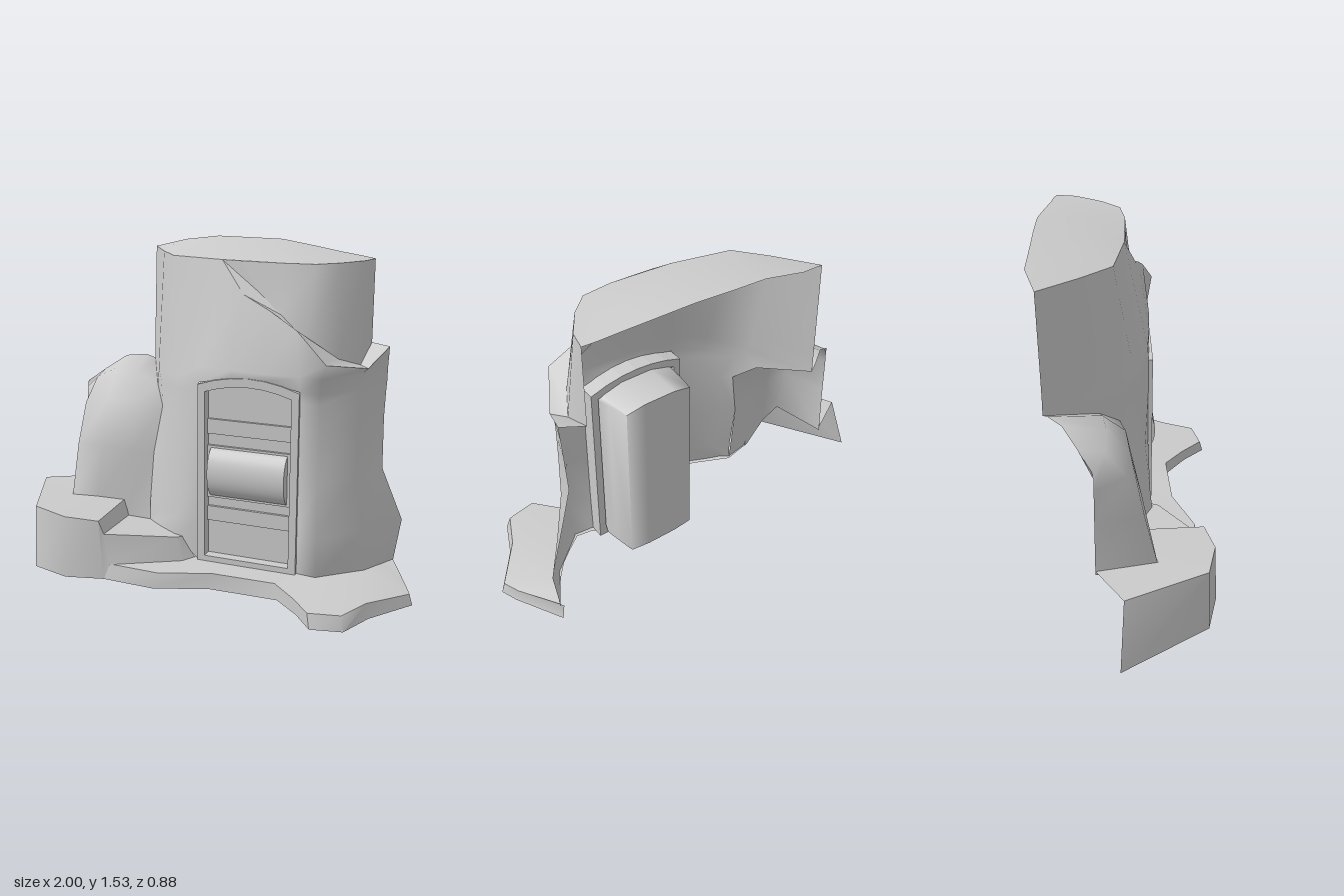
import * as THREE from 'three';
import { toCreasedNormals } from 'three/addons/utils/BufferGeometryUtils.js';

const material = new THREE.MeshStandardMaterial({ color: 0xcccccc, side: THREE.DoubleSide });

// Surface lofted through rows of [x, y, z] points; skip(row, col) leaves an opening.
function loft(name, rows, { crease = 0, skip = () => false } = {}) {
  const cols = rows[0].length;
  const index = [];
  for (let r = 0; r < rows.length - 1; r++) {
    for (let c = 0; c < cols - 1; c++) {
      if (skip(r, c)) continue;
      const a = r * cols + c, b = a + 1, d = a + cols, e = d + 1;
      index.push(a, b, e, a, e, d);
    }
  }
  let geometry = new THREE.BufferGeometry();
  geometry.setAttribute('position', new THREE.Float32BufferAttribute(rows.flat(2), 3));
  geometry.setIndex(index);
  geometry.computeVertexNormals();
  if (crease) geometry = toCreasedNormals(geometry, crease);
  return named(name, geometry);
}

function named(name, geometry) {
  const mesh = new THREE.Mesh(geometry, material);
  mesh.name = name;
  return mesh;
}

const atHeight = (y, points) => points.map(([x, z]) => [x, y, z]);

// Plain arched doorway outline.
function archOutline(Kind, x0, x1, y0, y1, rise) {
  const s = new Kind();
  s.moveTo(x0, y0);
  s.lineTo(x1, y0);
  s.lineTo(x1, y1);
  s.quadraticCurveTo((x0 + x1) / 2, y1 + rise * 2, x0, y1);
  s.closePath();
  return s;
}

function buildTower() {
  const group = new THREE.Group();
  group.name = 'tower';

  // Outer wall: four columns either side of the doorway, two more over it
  const levels = [
    [0.07, [[-0.29, 0], [-0.25, 0.03], [-0.12, 0.1], [0, 0.085], [0.475, 0.085], [0.57, 0.095], [0.75, -0.06], [0.85, -0.235]]],
    [0.28, [[-0.29, 0], [-0.22, 0.03], [-0.1, 0.09], [0, 0.085], [0.475, 0.09], [0.58, 0.15], [0.74, -0.05], [0.88, -0.245]]],
    [0.53, [[-0.285, -0.04], [-0.22, 0], [-0.1, 0.065], [0, 0.085], [0.475, 0.09], [0.57, 0.115], [0.7, -0.05], [0.785, -0.21]]],
    [0.76, [[-0.245, -0.06], [-0.2, -0.02], [-0.1, 0.05], [0, 0.085], [0.475, 0.09], [0.57, 0.105], [0.7, -0.06], [0.77, -0.265]]],
    [0.88, [[-0.31, -0.15], [-0.25, -0.06], [-0.11, 0.04], [0, 0.085], [0.475, 0.09], [0.57, 0.11], [0.7, -0.06], [0.775, -0.26]]],
    [0.93, [[-0.43, -0.39], [-0.28, -0.1], [-0.13, 0.02], [0, 0.085], [0.475, 0.095], [0.57, 0.115], [0.7, -0.06], [0.778, -0.26]]],
    [1.0, [[-0.43, -0.39], [-0.29, -0.13], [-0.14, 0], [0, 0.08], [0.475, 0.115], [0.58, 0.125], [0.71, -0.065], [0.78, -0.255]]],
  ];
  const rows = levels.map(([y, p]) => {
    const between = [1 / 3, 2 / 3].map((t) => [
      THREE.MathUtils.lerp(p[3][0], p[4][0], t), THREE.MathUtils.lerp(p[3][1], p[4][1], t) + 0.008]);
    return atHeight(y, [...p.slice(0, 4), ...between, ...p.slice(4)]);
  });
  // the foot rests on the step, the seam follows the dome, the opening is arched
  [0.2, 0.2, 0.18].forEach((y, c) => { rows[0][c][1] = y; });
  rows[4][0][1] = 0.84;
  rows[5][0][1] = 0.91;
  rows[5][4][1] = rows[5][5][1] = 0.965;
  const brokenEdge = [
    [0.07, 1.47, -0.02], [0.19, 1.33, 0.035], [0.32, 1.27, 0.06], [0.45, 1.2, 0.09],
    [0.6, 1.07, 0.145], [0.73, 1.02, -0.08], [0.785, 1.09, -0.25]];
  rows.push([[-0.42, 1.47, -0.4], [-0.3, 1.47, -0.22], [-0.19, 1.47, -0.08], ...brokenEdge]);
  group.add(loft('outerWall', rows, { skip: (r, c) => r < 5 && c >= 3 && c < 6 }));

  // Broken lip and the inner wall exposed above it
  const lipInner = [
    [0.16, 1.47, -0.01], [0.25, 1.34, 0.005], [0.36, 1.25, 0.025], [0.49, 1.14, 0.05],
    [0.61, 1.065, -0.02], [0.68, 1.02, -0.14], [0.69, 1.09, -0.31]];
  const innerTop = atHeight(1.47, [
    [0.16, -0.01], [0.25, -0.005], [0.36, 0], [0.5, -0.015], [0.59, -0.1], [0.67, -0.22], [0.69, -0.31]]);
  group.add(loft('brokenLip', [brokenEdge, lipInner], { crease: 0.5 }));
  group.add(loft('innerWall', [lipInner, innerTop]));

  // Shallow roof rising towards the back
  const rim = atHeight(1.47, [[-0.42, -0.4], [-0.3, -0.22], [-0.19, -0.08], [0.07, -0.02], [0.36, 0],
    [0.5, -0.015], [0.59, -0.1], [0.67, -0.22], [0.69, -0.31]]);
  const middle = [[-0.42, 1.47, -0.4], [-0.3, 1.49, -0.33], [-0.13, 1.505, -0.25], [0.06, 1.51, -0.2],
    [0.28, 1.51, -0.2], [0.42, 1.5, -0.22], [0.54, 1.485, -0.25], [0.64, 1.475, -0.28], [0.69, 1.47, -0.31]];
  const back = [[-0.42, 1.47, -0.4], [-0.28, 1.505, -0.44], [-0.1, 1.53, -0.42], [0.06, 1.53, -0.41],
    [0.23, 1.53, -0.395], [0.4, 1.508, -0.365], [0.53, 1.49, -0.34], [0.63, 1.478, -0.325], [0.69, 1.47, -0.31]];
  group.add(loft('roof', [rim, middle, back], { crease: 0.5 }));
  return group;
}

function buildDoor() {
  const group = new THREE.Group();
  group.name = 'door';
  const extrude = (name, shape, z, depth) => {
    const mesh = named(name, new THREE.ExtrudeGeometry(shape, { depth, bevelEnabled: false, curveSegments: 6 }));
    mesh.position.z = z;
    group.add(mesh);
  };

  // Arched frame and recessed leaf
  const outer = archOutline(THREE.Shape, 0, 0.475, 0.075, 0.925, 0.045);
  outer.holes.push(archOutline(THREE.Path, 0.035, 0.44, 0.105, 0.895, 0.035));
  extrude('doorFrame', outer, 0.02, 0.085);
  extrude('doorLeaf', archOutline(THREE.Shape, 0.03, 0.445, 0.09, 0.9, 0.035), 0.035, 0.02);

  // Raised rails
  for (const [y, h] of [[0.305, 0.07], [0.725, 0.07], [0.51, 0.25]]) {
    const rail = named('doorRail', new THREE.BoxGeometry(0.405, h, 0.02));
    rail.position.set(0.2375, y, 0.058);
    group.add(rail);
  }

  // Rounded bar across the middle
  const bar = named('doorBar', new THREE.CylinderGeometry(0.118, 0.118, 0.365, 24));
  bar.geometry.rotateZ(Math.PI / 2);
  bar.scale.z = 0.62;
  bar.position.set(0.235, 0.51, 0.051);
  group.add(bar);

  // Deep rounded backing behind the leaf
  const bow = [[0.04, 0.03], [0.05, -0.04], [0.07, -0.15], [0.16, -0.16],
    [0.315, -0.16], [0.405, -0.15], [0.425, -0.04], [0.435, 0.03]];
  const crown = [0.885, 0.89, 0.9, 0.925, 0.925, 0.9, 0.89, 0.885];
  group.add(loft('doorBacking', [
    bow.map(([x]) => [x, 0.08, 0.03]),
    atHeight(0.08, bow),
    bow.map(([x, z], i) => [x, crown[i], z]),
    bow.map(([x], i) => [x, crown[i] + 0.01, 0.03]),
  ], { crease: 1.45 }));
  return group;
}

function buildDome() {
  // Half-open rounded side chamber leaning on the tower
  return loft('sideDome', [
    [[-0.72, 0.29, -0.19], [-0.67, 0.29, 0.08], [-0.55, 0.28, 0.05], [-0.42, 0.2, 0.02], [-0.29, 0.2, 0]],
    [[-0.715, 0.55, -0.19], [-0.66, 0.55, 0.02], [-0.53, 0.55, 0.02], [-0.39, 0.53, 0], [-0.285, 0.53, -0.04]],
    [[-0.715, 0.72, -0.19], [-0.65, 0.74, -0.05], [-0.52, 0.77, -0.03], [-0.36, 0.78, -0.04], [-0.245, 0.76, -0.06]],
    [[-0.713, 0.78, -0.19], [-0.63, 0.85, -0.14], [-0.53, 0.9, -0.13], [-0.41, 0.89, -0.14], [-0.31, 0.84, -0.15]],
    [[-0.71, 0.81, -0.195], [-0.635, 0.87, -0.25], [-0.55, 0.93, -0.31], [-0.47, 0.93, -0.37], [-0.43, 0.91, -0.39]],
  ]);
}

function buildBase() {
  const group = new THREE.Group();
  group.name = 'base';
  const crease = { crease: 0.9 };

  // Raised block on the side of the dome
  group.add(loft('raisedBlock', [
    [[-1, 0, -0.1], [-0.76, 0, 0.3], [-0.57, 0, 0.355], [-0.39, 0, 0.31]],
    [[-0.91, 0.31, -0.08], [-0.75, 0.305, 0.29], [-0.57, 0.295, 0.34], [-0.41, 0.285, 0.31]],
    [[-0.72, 0.31, -0.19], [-0.67, 0.305, 0.08], [-0.55, 0.3, 0.05], [-0.42, 0.29, 0.02]],
  ], crease));

  // Step: riser, tread and front
  group.add(loft('stepTread', [
    [[-0.41, 0.285, 0.31], [-0.42, 0.29, 0.02]],
    [[-0.39, 0.22, 0.3], [-0.4, 0.21, 0.01]],
    [[-0.1, 0.185, 0.13], [-0.28, 0.2, -0.01]],
    [[-0.08, 0.18, 0.1], [-0.13, 0.19, 0.07]],
  ], crease));
  group.add(loft('stepFront', [
    [[-0.39, 0, 0.31], [-0.36, 0.075, 0.305], [-0.06, 0.075, 0.15], [-0.02, 0.075, 0.085]],
    [[-0.41, 0.285, 0.31], [-0.39, 0.22, 0.3], [-0.1, 0.185, 0.13], [-0.08, 0.18, 0.09]],
  ], crease));

  // Low doorstep slab, open underneath
  const outline = [[-0.39, 0.31], [-0.13, 0.32], [0.1, 0.23], [0.43, 0.225], [0.55, 0.33], [0.64, 0.44],
    [0.78, 0.41], [0.85, 0.25], [1, 0.05], [0.97, -0.03], [0.85, -0.25]];
  const edge = outline.map(([x, z]) => [x - 0.015 * Math.sign(x - 0.4), x > 0.9 ? 0.05 : x > 0.5 ? 0.065 : 0.075, z * 0.96]);
  const inner = [[-0.36, 0.3], [-0.06, 0.14], [0, 0.05], [0.45, 0.05], [0.5, 0.07], [0.57, 0.08],
    [0.65, 0.02], [0.71, -0.03], [0.76, -0.09], [0.81, -0.16], [0.85, -0.235]];
  group.add(loft('doorstepSlab', [atHeight(0, outline), edge, atHeight(0.08, inner)], crease));
  return group;
}

export function createModel() {
  const model = new THREE.Group();
  model.name = 'ruinedTower';
  model.add(buildTower(), buildDoor(), buildDome(), buildBase());
  return model;
}
